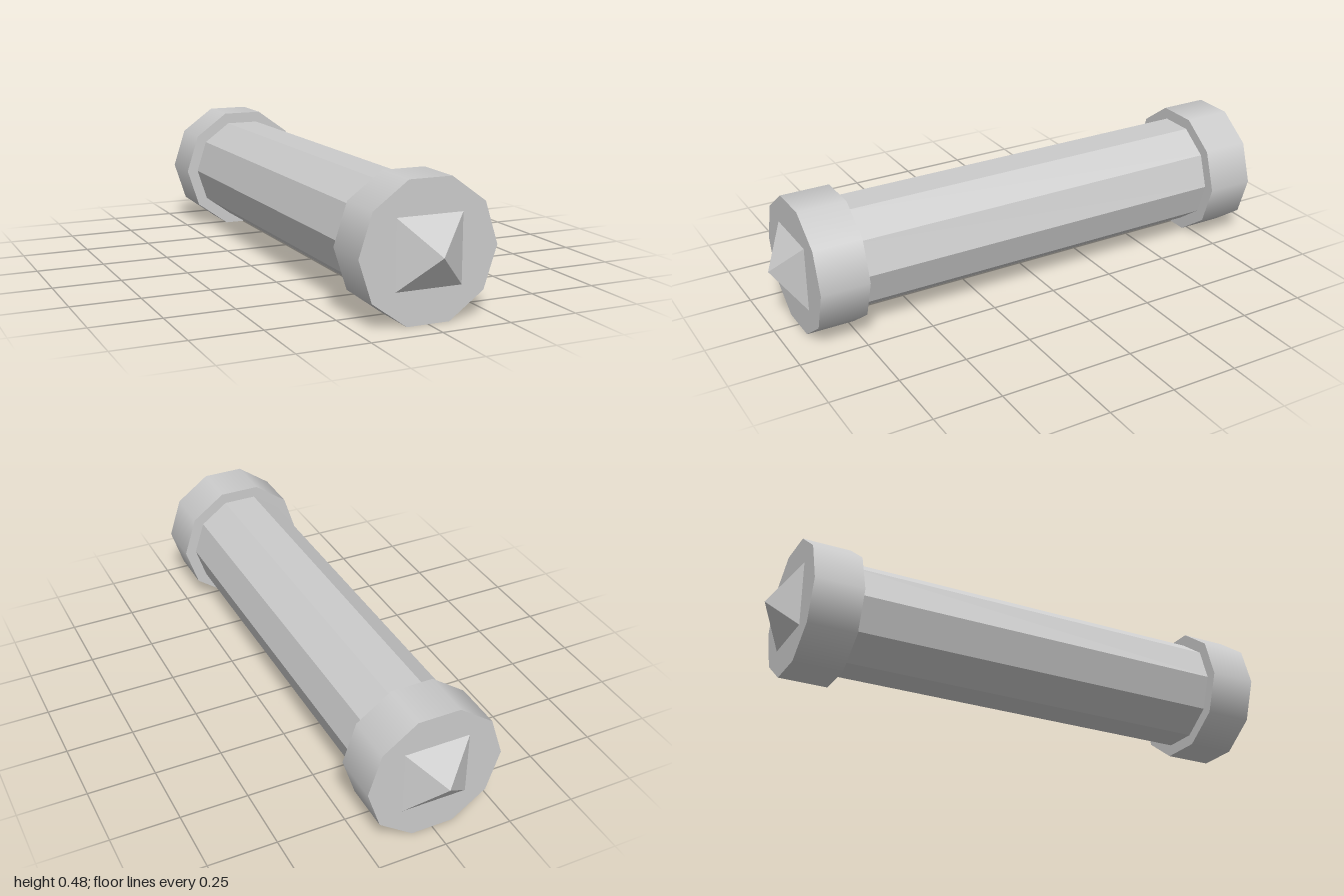
import * as THREE from 'three';

const SIDES = 10;
const COLLAR_RADIUS = 0.25;
const SHAFT_RADIUS = 0.206;
const COLLAR_INNER = 0.727;
const COLLAR_OUTER = 0.907;
const CENTRE_Y = COLLAR_RADIUS * Math.sin((2 * Math.PI) / 5);

const smooth = new THREE.MeshStandardMaterial({ color: 0xcccccc });
const flat = new THREE.MeshStandardMaterial({ color: 0xcccccc, flatShading: true });

// Ten-sided prism along z, with corners on the x axis and flats on top and bottom
function prism(name, radius, length, material) {
  const geometry = new THREE.CylinderGeometry(radius, radius, length, SIDES, 1, false, Math.PI / 2);
  geometry.rotateX(Math.PI / 2);
  const mesh = new THREE.Mesh(geometry, material);
  mesh.name = name;
  return mesh;
}

// Collar with a square pyramid point, facing +z
function createEnd(name) {
  const end = new THREE.Group();
  end.name = name;

  const collar = prism('collar', COLLAR_RADIUS, COLLAR_OUTER - COLLAR_INNER, smooth);
  collar.position.z = (COLLAR_INNER + COLLAR_OUTER) / 2;

  const height = 1 - COLLAR_OUTER;
  const pyramid = new THREE.ConeGeometry(0.12 * Math.SQRT2, height, 4, 1, false, Math.PI / 4);
  pyramid.rotateX(Math.PI / 2);
  const point = new THREE.Mesh(pyramid, flat);
  point.name = 'point';
  point.position.z = COLLAR_OUTER + height / 2;

  end.add(collar, point);
  return end;
}

export function createModel() {
  const model = new THREE.Group();
  model.name = 'collaredRod';

  // Faceted shaft, ending inside the collars
  const shaft = prism('shaft', SHAFT_RADIUS, 2 * COLLAR_INNER + 0.1, flat);

  // Matching ends
  const front = createEnd('frontEnd');
  const back = createEnd('backEnd');
  back.rotation.y = Math.PI;

  for (const part of [shaft, front, back]) {
    part.position.y = CENTRE_Y;
    model.add(part);
  }
  return model;
}
